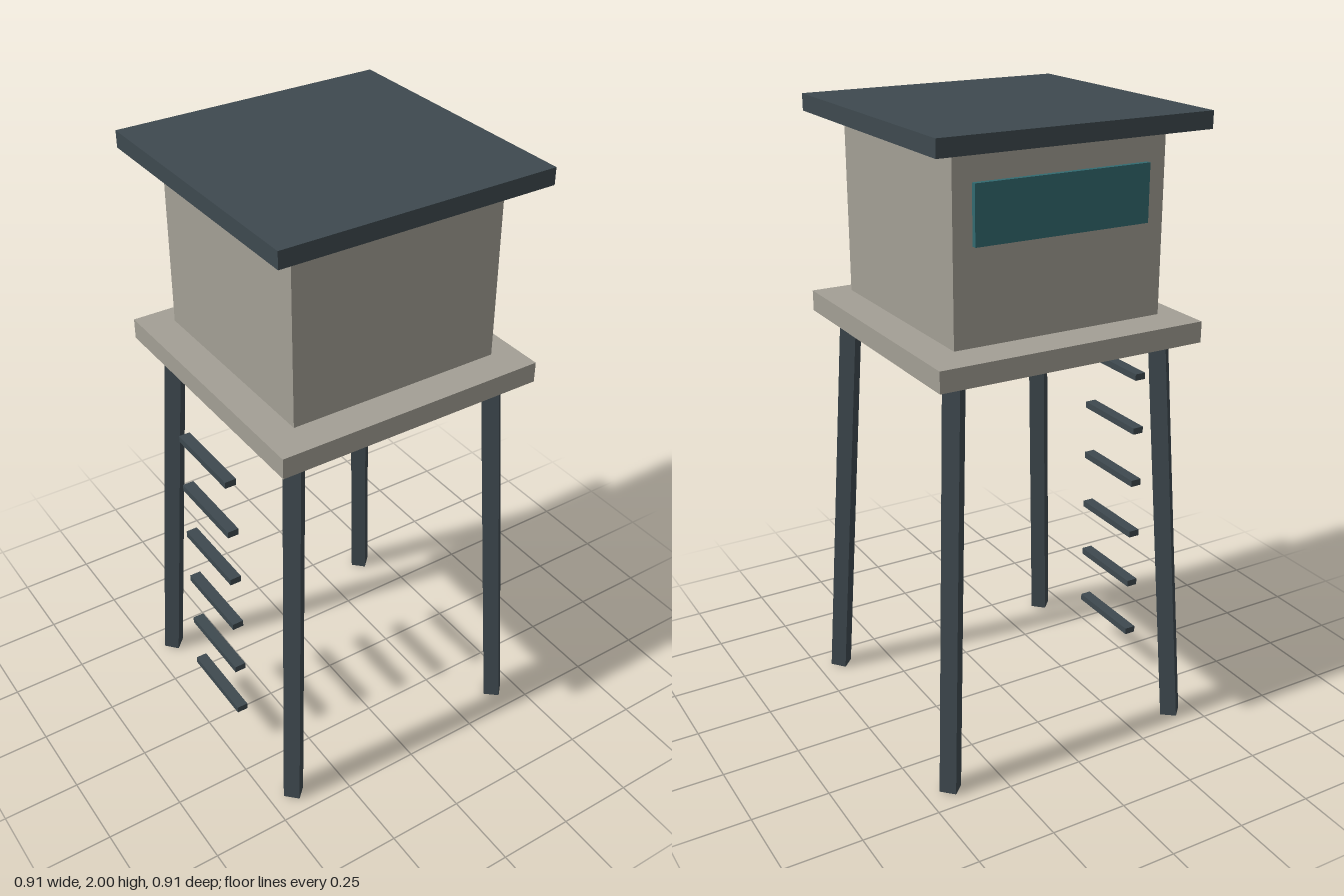
import * as THREE from 'three';

const material = (name, color) => {
  const m = new THREE.MeshStandardMaterial({ color });
  m.name = name;
  return m;
};

export function createModel() {
  const tower = new THREE.Group();
  tower.name = 'watchtower';

  const concrete = material('warm grey', 0xa39f95);
  const steel = material('dark slate', 0x3e494f);
  const glass = material('teal glass', 0x326a70);

  const box = (name, mat, w, h, d, x, y, z) => {
    const mesh = new THREE.Mesh(new THREE.BoxGeometry(w, h, d), mat);
    mesh.name = name;
    mesh.position.set(x, y, z);
    tower.add(mesh);
  };

  // Roof, cabin and deck
  box('roof', steel, 0.88, 0.052, 0.88, 0, 1.974, 0);
  box('cabin', concrete, 0.692, 0.558, 0.692, 0, 1.67, 0);
  box('deck', concrete, 0.88, 0.066, 0.88, 0, 1.346, 0);

  // Observation window on the back wall
  box('window', glass, 0.57, 0.175, 0.018, 0, 1.768, -0.353);

  // Four splayed legs, square in section and turned edge outward
  const up = new THREE.Vector3(0, 1, 0);
  for (const sx of [-1, 1]) {
    for (const sz of [-1, 1]) {
      const foot = new THREE.Vector3(sx * 0.417, 0.002, sz * 0.417);
      const head = new THREE.Vector3(sx * 0.349, 1.32, sz * 0.349);
      const axis = head.clone().sub(foot);
      const geometry = new THREE.CylinderGeometry(0.0375, 0.0375, axis.length(), 4).toNonIndexed();
      geometry.computeVertexNormals();
      const leg = new THREE.Mesh(geometry, steel);
      leg.name = 'leg';
      leg.position.copy(foot).add(head).multiplyScalar(0.5);
      leg.quaternion.setFromUnitVectors(up, axis.normalize());
      tower.add(leg);
    }
  }

  // Ladder rungs on the -x side
  for (let i = 0; i < 6; i++) {
    box('rung', steel, 0.037, 0.022, 0.283, -0.442, 0.164 + i * 0.1888, 0);
  }

  return tower;
}
